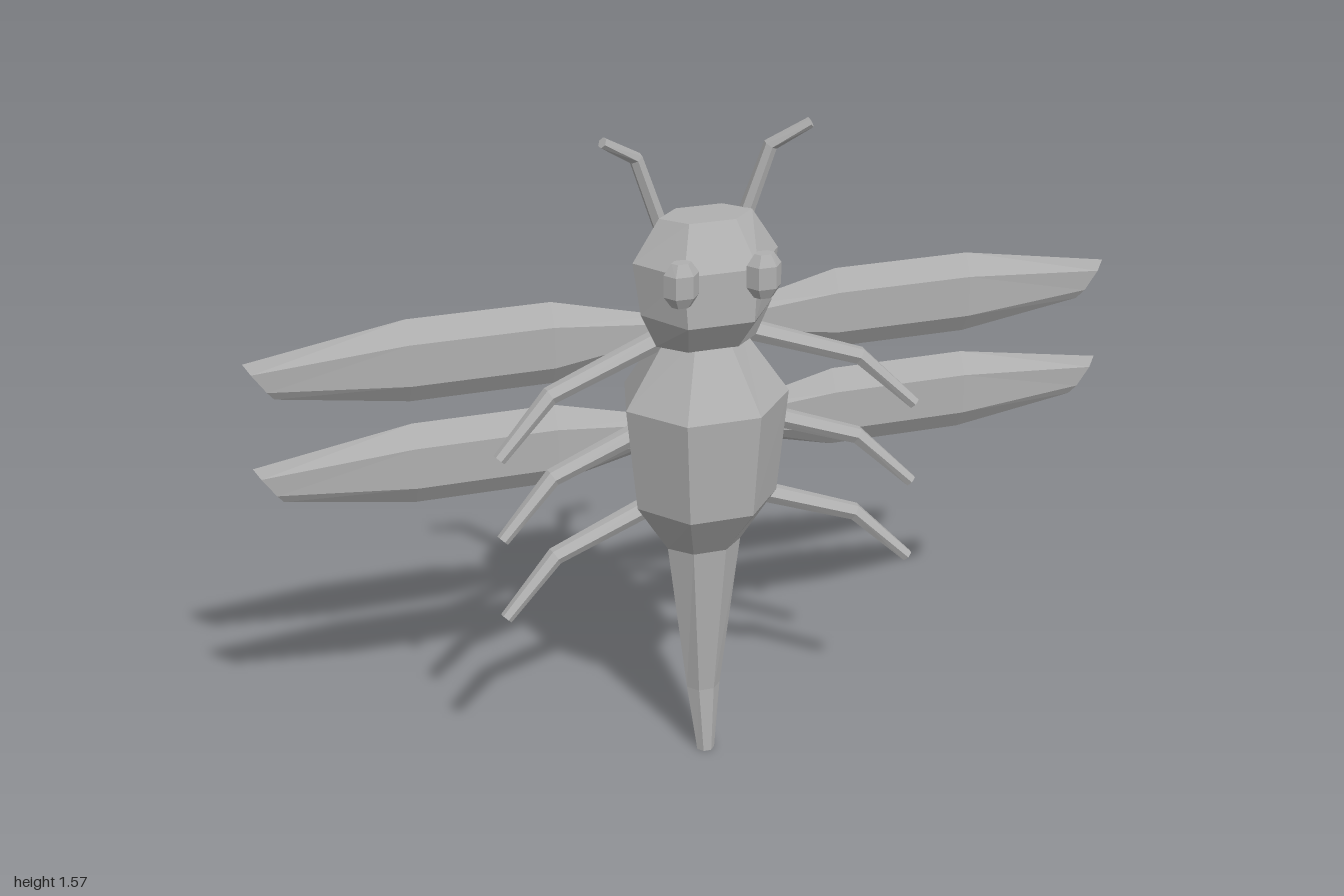
import * as THREE from 'three';

const grey = new THREE.MeshStandardMaterial({ color: 0xb0b0b0, flatShading: true });
grey.name = 'grey';

const vec = (a) => new THREE.Vector3(...a);

// Closed solid through rings of `sides` points; each section is [centre, u axis, v axis]
// and u x v points along the direction of travel. side = -1 mirrors it in x.
function loft(name, sections, sides, side = 1) {
  const rings = sections.map(([c, u, v]) => {
    const ring = [];
    for (let j = 0; j < sides; j++) {
      const a = (j / sides) * Math.PI * 2;
      const p = vec(c).addScaledVector(vec(u), Math.cos(a)).addScaledVector(vec(v), Math.sin(a));
      p.x *= side;
      ring.push(p);
    }
    return ring;
  });
  const pos = [];
  const tri = (a, b, c) => (side > 0 ? [a, b, c] : [a, c, b]).forEach((p) => pos.push(p.x, p.y, p.z));
  for (let i = 0; i < rings.length - 1; i++) {
    for (let j = 0; j < sides; j++) {
      const k = (j + 1) % sides;
      tri(rings[i][j], rings[i][k], rings[i + 1][k]);
      tri(rings[i][j], rings[i + 1][k], rings[i + 1][j]);
    }
  }
  const first = rings[0], last = rings[rings.length - 1];
  for (let j = 1; j < sides - 1; j++) {
    tri(first[0], first[j + 1], first[j]);
    tri(last[0], last[j], last[j + 1]);
  }
  const geo = new THREE.BufferGeometry();
  geo.setAttribute('position', new THREE.Float32BufferAttribute(pos, 3));
  geo.computeVertexNormals();
  const mesh = new THREE.Mesh(geo, grey);
  mesh.name = name;
  return mesh;
}

// Tapered six-sided limb through a few points
function limb(name, points, radii, side) {
  const pts = points.map(vec);
  const sections = pts.map((p, i) => {
    const prev = pts[Math.max(i - 1, 0)], next = pts[Math.min(i + 1, pts.length - 1)];
    const dir = next.clone().sub(prev).normalize();
    const u = new THREE.Vector3(0, 0, 1).addScaledVector(dir, -dir.z).normalize();
    const v = dir.clone().cross(u);
    return [points[i], u.multiplyScalar(radii[i]).toArray(), v.multiplyScalar(radii[i]).toArray()];
  });
  return loft(name, sections, 6, side);
}

export function createModel() {
  const model = new THREE.Group();
  model.name = 'dragonfly';

  // Seven-sided thorax and tail, ridge along the back: y, z centre, x radius, z radius
  const seven = ([y, z, rx, rz]) => [[0, y, z], [0, 0, -rz], [rx, 0, 0]];
  const waist = [0.56, 0, 0.09, 0.066];
  model.add(loft('thorax', [
    [1.1, -0.003, 0.085, 0.082],
    [0.94, 0.006, 0.195, 0.176],
    [0.69, 0.005, 0.17, 0.16],
    waist,
  ].map(seven), 7));
  model.add(loft('tail', [
    waist,
    [0.17, 0, 0.042, 0.037],
    [0, 0.023, 0.022, 0.021],
  ].map(seven), 7));

  // Six-sided head with a flat face
  const six = (x) => ([y, z, rx, rz]) => [[x, y, z], [rx, 0, 0], [0, 0, rz]];
  model.add(loft('head', [
    [1.375, 0.025, 0.105, 0.058],
    [1.28, 0.026, 0.165, 0.128],
    [1.16, 0.032, 0.15, 0.125],
    [1.08, 0.03, 0.115, 0.06],
  ].map(six(0)), 6));

  for (const side of [1, -1]) {
    const label = side > 0 ? 'left' : 'right';

    // Bulging eyes
    model.add(loft(label + 'Eye', [
      [1.32, 0.147, 0.022, 0.015],
      [1.295, 0.147, 0.039, 0.029],
      [1.245, 0.147, 0.039, 0.029],
      [1.22, 0.147, 0.022, 0.015],
    ].map(six(0.092)), 6, side));

    // Bent antennae
    model.add(limb(label + 'Antenna',
      [[0.085, 1.32, 0], [0.15, 1.51, 0.01], [0.23, 1.562, 0.04]], [0.018, 0.016, 0.012], side));

    // Two pairs of wings: x, half height, half thickness, slant of the end
    [['Forewing', 1.083], ['Hindwing', 0.835]].forEach(([name, y]) => {
      model.add(loft(label + name, [
        [0.08, 0.035, 0.016, 0],
        [0.33, 0.097, 0.036, 0],
        [0.65, 0.097, 0.036, 0],
        [0.97, 0.045, 0.013, 0.03],
      ].map(([x, h, t, slant], i) => [[x, i === 3 ? y - 0.007 : y, -0.052], [slant, h, 0], [0, 0, t]]), 6, side));
    });

    // Three pairs of legs
    ['Front', 'Middle', 'Rear'].forEach((name, i) => {
      const d = 0.2 * i;
      model.add(limb(label + name + 'Leg',
        [[0.08, 1.09 - d, -0.005], [0.36, 1.0 - d, 0.04], [0.485, 0.878 - d, 0.073]],
        [0.025, 0.021, 0.015], side));
    });
  }
  return model;
}
